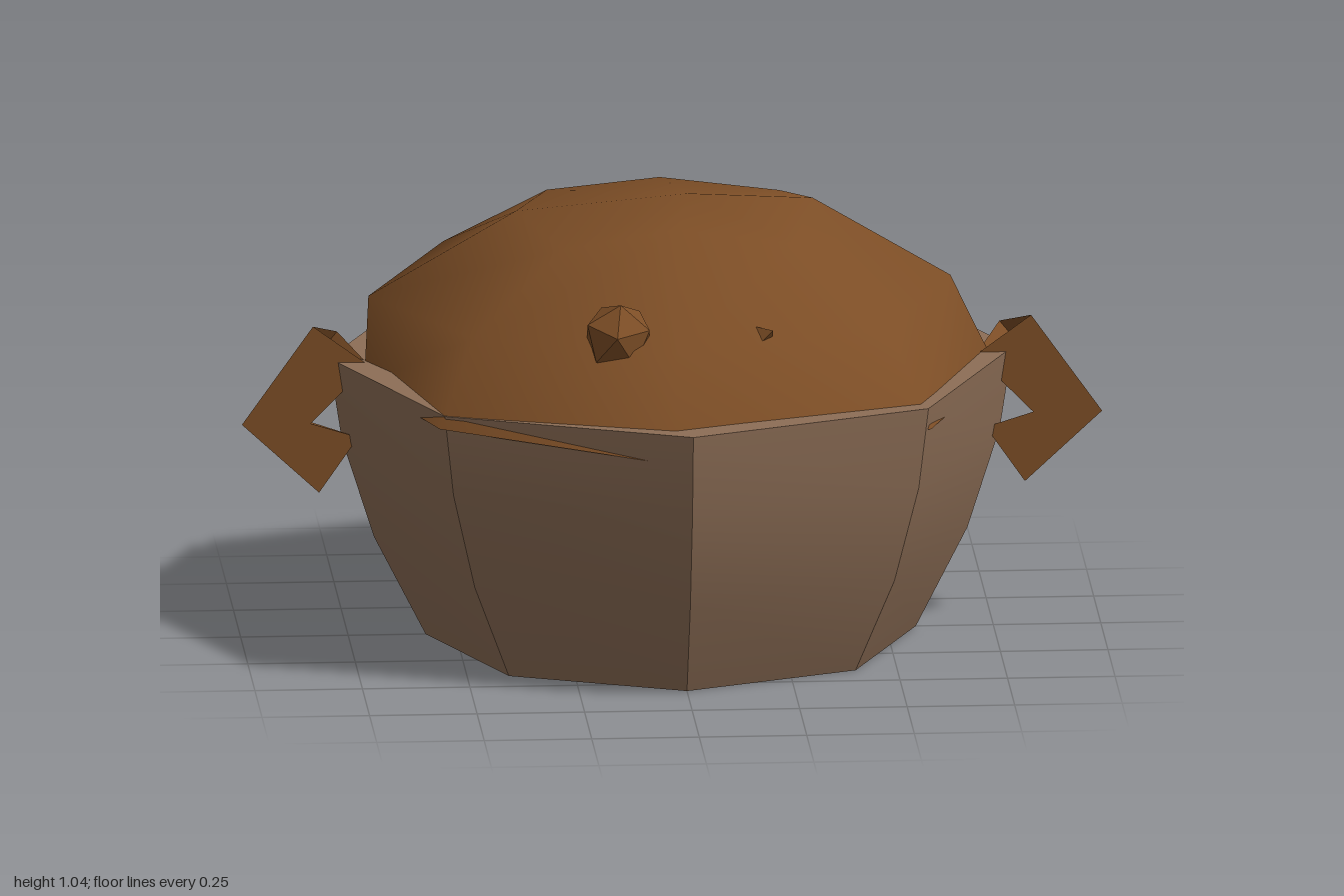
import * as THREE from 'three';
import { toCreasedNormals } from 'three/addons/utils/BufferGeometryUtils.js';

// Skin a list of equal-length cross-sections, optionally closing the last one with an apex
function skin(rings, apex) {
  const n = rings[0].length;
  const points = rings.flat();
  const index = [];
  for (let r = 0; r < rings.length - 1; r++) {
    for (let i = 0; i < n; i++) {
      const a = r * n + i, b = r * n + (i + 1) % n;
      index.push(a, a + n, b, b, a + n, b + n);
    }
  }
  if (apex) {
    const base = (rings.length - 1) * n;
    points.push(apex);
    for (let i = 0; i < n; i++) index.push(base + i, points.length - 1, base + (i + 1) % n);
  }
  const geometry = new THREE.BufferGeometry();
  geometry.setAttribute('position', new THREE.Float32BufferAttribute(points.flat(), 3));
  geometry.setIndex(index);
  geometry.computeVertexNormals();
  return geometry;
}

export function createModel() {
  const group = new THREE.Group();
  const clay = new THREE.MeshStandardMaterial({ name: 'clay', color: 0x8d6e56, side: THREE.DoubleSide });
  const brown = new THREE.MeshStandardMaterial({ name: 'brown', color: 0x7d4e26, side: THREE.DoubleSide });

  const add = (name, geometry, material, x = 0, y = 0, z = 0) => {
    const mesh = new THREE.Mesh(geometry, material);
    mesh.name = name;
    mesh.position.set(x, y, z);
    group.add(mesh);
    return mesh;
  };

  // Eight-sided bowl wall, open underneath
  const profile = [[0.57, 0], [0.69, 0.235], [0.765, 0.47], [0.795, 0.665]]
    .map(([r, y]) => new THREE.Vector2(r, y));
  add('bowlWall', toCreasedNormals(new THREE.LatheGeometry(profile, 8), 0.5), clay);

  // Flat top of the bowl, showing as a rim around the filling
  add('bowlRim', new THREE.CircleGeometry(0.795, 8).rotateX(-Math.PI / 2), clay, 0, 0.665, 0);

  // Lumpy domed filling
  const filling = [
    [[0.76, 0.61, 0], [0.57, 0.61, 0.54], [-0.04, 0.592, 0.765], [-0.575, 0.637, 0.57],
      [-0.715, 0.61, 0.03], [-0.57, 0.61, -0.49], [-0.04, 0.61, -0.715], [0.54, 0.61, -0.52]],
    [[0.65, 0.84, 0], [0.48, 0.83, 0.46], [-0.03, 0.83, 0.66], [-0.49, 0.83, 0.48],
      [-0.705, 0.82, 0.03], [-0.5, 0.83, -0.43], [-0.03, 0.84, -0.63], [0.47, 0.83, -0.45]],
    [[0.33, 1.03, 0], [0.27, 0.99, 0.27], [0, 1.03, 0.28], [-0.27, 0.99, 0.29],
      [-0.36, 1.01, 0], [-0.27, 0.99, -0.27], [0, 0.985, -0.39], [0.27, 0.98, -0.27]],
  ];
  add('filling', skin(filling, [0.04, 1.045, 0]), brown);

  // Chunks breaking the surface
  const chunk = add('chunk', new THREE.IcosahedronGeometry(0.085, 0), brown, -0.16, 0.85, 0.565);
  chunk.rotation.set(0.3, 0.2, 0.5);
  add('smallChunk', new THREE.TetrahedronGeometry(0.035), brown, 0.18, 0.84, 0.55);

  // Bent three-sided handles: [centre x, centre y, outward x, outward y]
  const bend = [[0.77, 0.705, 0.81, 0.59], [0.92, 0.52, 1, 0], [0.775, 0.42, 0.57, -0.82]];
  for (const [name, side] of [['leftHandle', 1], ['rightHandle', -1]]) {
    const rings = bend.map(([x, y, nx, ny]) => [
      [side * (x + nx * 0.08), y + ny * 0.08, 0.045],
      [side * (x - nx * 0.08), y - ny * 0.08, 0.045],
      [side * x, y, -0.09],
    ]);
    if (side > 0) rings.reverse();
    add(name, toCreasedNormals(skin(rings), 0.3), brown);
  }

  return group;
}
